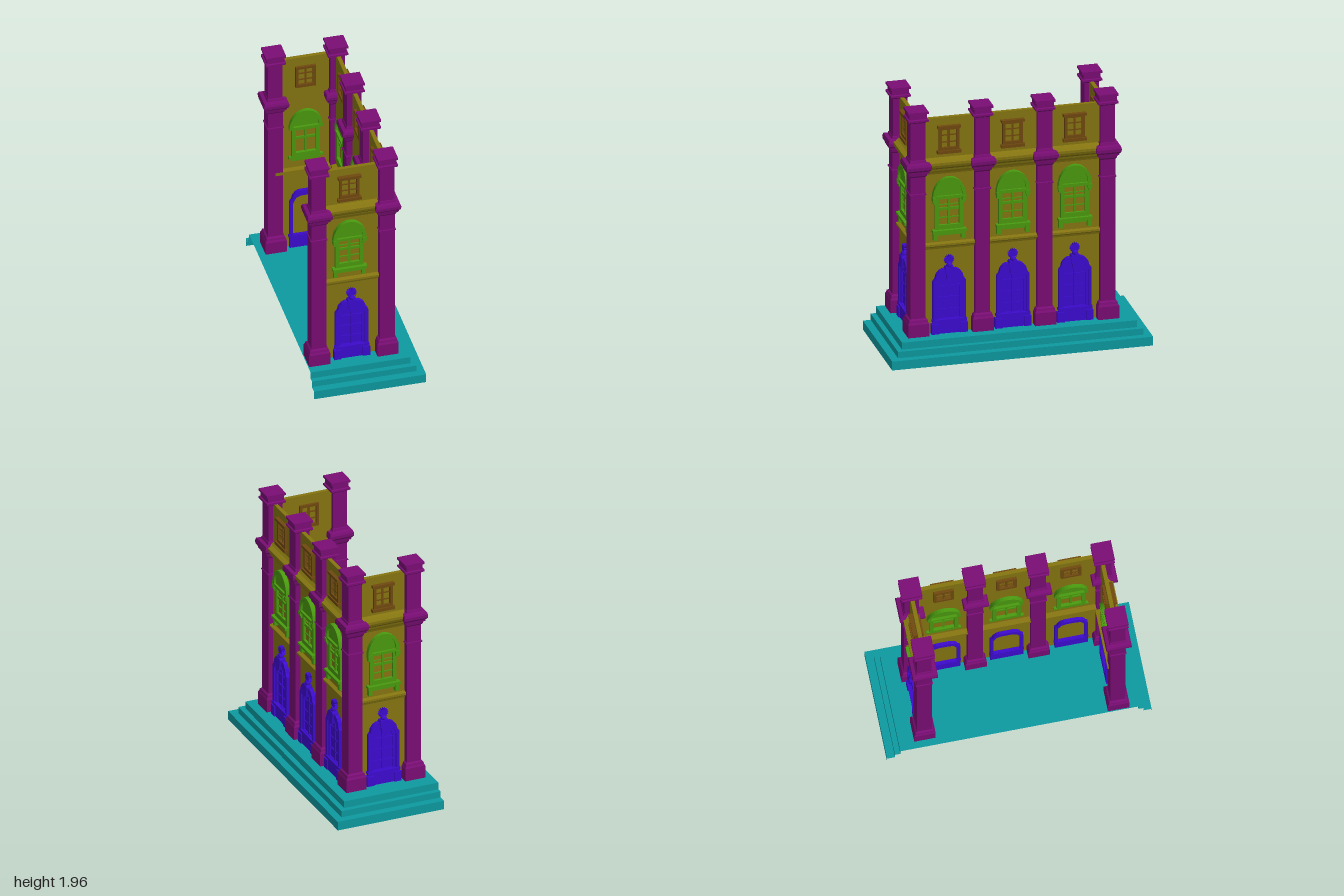
import * as THREE from 'three';

const mat = (color, side = THREE.FrontSide) => new THREE.MeshStandardMaterial({ color, side, flatShading: true });
const olive = mat(0x857510), purple = mat(0x7a0d75), green = mat(0x4a9a0f);
const blue = mat(0x3d0bd0), brown = mat(0x70490f), teal = mat(0x0d9a9f, THREE.DoubleSide);

function add(parent, name, geo, material) {
  const m = new THREE.Mesh(geo, material);
  m.name = name;
  parent.add(m);
  return m;
}

// Box from its centre x, width, bottom, top and depth range
function box(parent, name, material, x, w, y0, y1, z0, z1) {
  const m = add(parent, name, new THREE.BoxGeometry(w, y1 - y0, z1 - z0), material);
  m.position.set(x, (y0 + y1) / 2, (z0 + z1) / 2);
  return m;
}

// Closed symmetric outline from its right half, listed bottom to top
function mirrored(half) {
  const left = half.filter(p => p[0] > 0).map(([x, y]) => [-x, y]).reverse();
  return new THREE.Shape([...half, ...left].map(([x, y]) => new THREE.Vector2(x, y)));
}

function plate(parent, name, material, shape, z0, z1) {
  const geo = new THREE.ExtrudeGeometry(shape, { depth: z1 - z0, bevelEnabled: false, curveSegments: 14 });
  geo.translate(0, 0, z0);
  return add(parent, name, geo, material);
}

function arch(r, rise, y) {
  const pts = [];
  for (let i = 0; i <= 8; i++) pts.push([r * Math.cos(i * Math.PI / 16), y + rise * Math.sin(i * Math.PI / 16)]);
  pts[8][0] = 0;
  return pts;
}

function framed(outer, inner) {
  const s = mirrored(outer);
  s.holes.push(mirrored(inner));
  return s;
}
const rect = (h, y0, y1) => [[h, y0], [h, y1]];

// Horizontal moulding: profile points are [depth, y]
function moulding(parent, name, profile, length) {
  const shape = new THREE.Shape(profile.map(([d, y]) => new THREE.Vector2(d, y)));
  const geo = new THREE.ExtrudeGeometry(shape, { depth: length, bevelEnabled: false });
  geo.rotateY(-Math.PI / 2).translate(length / 2, 0, 0);
  return add(parent, name, geo, olive);
}

function atticWindow() {
  const g = new THREE.Group();
  g.name = 'atticWindow';
  plate(g, 'frame', brown, framed(rect(0.077, 1.625, 1.81), rect(0.056, 1.65, 1.79)), -0.05, 0.02);
  box(g, 'lintel', brown, 0, 0.176, 1.802, 1.823, -0.02, 0.032);
  box(g, 'sill', brown, 0, 0.182, 1.604, 1.628, -0.02, 0.032);
  box(g, 'mullion', brown, 0, 0.014, 1.65, 1.79, -0.04, 0.01);
  for (const y of [1.69, 1.745]) box(g, 'glazingBar', brown, 0, 0.112, y - 0.004, y + 0.004, -0.04, 0.008);
  return g;
}

function archedWindow() {
  const g = new THREE.Group();
  g.name = 'archedWindow';
  plate(g, 'frame', green, framed(rect(0.108, 0.995, 1.26), rect(0.078, 1.035, 1.24)), -0.055, 0.02);
  plate(g, 'archHood', green, framed([[0.128, 1.25], ...arch(0.128, 0.155, 1.26)], [[0.098, 1.27], ...arch(0.098, 0.12, 1.275)]), -0.06, 0.035);
  plate(g, 'tympanum', green, mirrored([[0.11, 1.25], ...arch(0.11, 0.135, 1.26)]), -0.04, 0.018);
  box(g, 'sill', green, 0, 0.26, 0.98, 1.0, -0.05, 0.045);
  box(g, 'apron', green, 0, 0.22, 0.955, 0.98, -0.04, 0.025);
  for (const s of [-1, 1]) {
    box(g, 'sillBracket', green, s * 0.108, 0.03, 0.92, 0.982, -0.01, 0.03);
    box(g, 'impost', green, s * 0.112, 0.034, 1.228, 1.258, -0.01, 0.04);
    box(g, 'imposeBracket', green, s * 0.112, 0.024, 1.205, 1.23, -0.01, 0.03);
  }
  box(g, 'mullion', green, 0, 0.016, 1.035, 1.24, -0.04, 0.012);
  box(g, 'transom', green, 0, 0.156, 1.15, 1.17, -0.04, 0.012);
  for (const y of [1.09, 1.192]) box(g, 'glazingBar', green, 0, 0.156, y - 0.004, y + 0.004, -0.02, 0.008);
  return g;
}

function doorway() {
  const g = new THREE.Group();
  g.name = 'doorway';
  const outer = [[0.125, 0.27], [0.125, 0.59], [0.108, 0.612], [0.1, 0.645], [0.078, 0.672], [0.055, 0.685]];
  const mid = [[0.1, 0.28], [0.1, 0.575], [0.075, 0.625], [0.04, 0.64]];
  const inner = [[0.08, 0.29], [0.08, 0.55], [0.06, 0.595], [0.03, 0.61]];
  plate(g, 'outerFrame', blue, framed(outer, mid), -0.055, 0.032);
  plate(g, 'innerFrame', blue, framed(mid, inner), -0.02, 0.02);
  plate(g, 'doorPanel', blue, mirrored(inner), -0.01, 0.006);
  box(g, 'mullion', blue, 0, 0.014, 0.285, 0.61, 0, 0.014);
  for (const y of [0.36, 0.455, 0.545]) box(g, 'rail', blue, 0, 0.16, y - 0.006, y + 0.006, 0, 0.013);
  // Plinth with end blocks
  box(g, 'plinth', blue, 0, 0.25, 0.165, 0.275, -0.055, 0.03);
  box(g, 'plinthCap', blue, 0, 0.262, 0.268, 0.287, -0.05, 0.038);
  for (const s of [-1, 1]) box(g, 'plinthBlock', blue, s * 0.11, 0.056, 0.165, 0.255, -0.02, 0.04);
  // Keystone carrying a rayed rosette
  plate(g, 'keystone', blue, mirrored([[0.02, 0.605], [0.038, 0.69], [0.03, 0.705]]), 0, 0.047);
  const knob = add(g, 'knob', new THREE.SphereGeometry(0.024, 10, 8), blue);
  knob.position.set(0, 0.715, 0.022);
  const star = new THREE.Shape();
  for (let i = 0; i < 28; i++) {
    const r = i % 2 ? 0.026 : 0.039, a = Math.PI / 2 + i * Math.PI / 14;
    star[i ? 'lineTo' : 'moveTo'](r * Math.cos(a), 0.755 + r * Math.sin(a));
  }
  plate(g, 'rosette', blue, star, 0, 0.028);
  return g;
}

// Wall with mouldings; local +z is outward, bays hold [window x, door x]
function wall(name, length, bays) {
  const g = new THREE.Group();
  g.name = name;
  box(g, 'wallPanel', olive, 0, length, 0.17, 1.885, -0.03, 0);
  moulding(g, 'cornice', [[-0.03, 1.44], [0.006, 1.44], [0.012, 1.455], [0.02, 1.47], [0.032, 1.475], [0.036, 1.49],
    [0.05, 1.505], [0.058, 1.525], [0.058, 1.545], [0.02, 1.555], [0, 1.57], [-0.03, 1.57]], length);
  moulding(g, 'stringCourse', [[-0.07, 0.862], [-0.045, 0.845], [0.01, 0.845], [0.016, 0.862], [0.03, 0.872],
    [0.03, 0.888], [0, 0.896], [-0.07, 0.888]], length);
  for (const [wx, dx] of bays) {
    for (const w of [atticWindow(), archedWindow()]) {
      w.position.x = wx;
      g.add(w);
    }
    const d = doorway();
    d.position.x = dx;
    g.add(d);
  }
  return g;
}

// Square column turned from a stepped profile of [half width, y]
function column(x, z) {
  const profile = [[0, 0.165], [0.081, 0.165], [0.081, 0.275], [0.073, 0.29], [0.07, 0.305], [0.057, 0.315],
    [0.057, 1.295], [0.064, 1.298], [0.064, 1.306], [0.057, 1.309], [0.057, 1.44], [0.066, 1.452], [0.07, 1.47],
    [0.08, 1.474], [0.083, 1.49], [0.095, 1.505], [0.097, 1.53], [0.09, 1.55], [0.064, 1.555], [0.06, 1.572],
    [0.056, 1.575], [0.056, 1.87], [0.066, 1.882], [0.077, 1.885], [0.077, 1.9], [0.066, 1.904],
    [0.066, 1.942], [0.077, 1.946], [0.077, 1.963], [0, 1.963]];
  const geo = new THREE.LatheGeometry(profile.map(([r, y]) => new THREE.Vector2(r * Math.SQRT2, y)), 4);
  geo.rotateY(Math.PI / 4);
  const g = new THREE.Group();
  g.name = 'column';
  g.position.set(x, 0, z);
  add(g, 'columnBody', geo, purple);
  return g;
}

// Open stepped shell running round three sides, with a floor on top
function steps() {
  const g = new THREE.Group();
  g.name = 'steps';
  const profile = [[0, 0], [0, 0.07], [0.06, 0.07], [0.06, 0.12], [0.1, 0.12], [0.1, 0.175]];
  const rings = profile.map(([i, y]) => {
    const x = 0.43 - i * 0.95, z = 1 - i;
    return [[-0.43, y, z], [x, y, z], [x, y, -z], [-0.43, y, -z]];
  });
  const pos = [];
  for (let r = 0; r < rings.length - 1; r++) {
    for (let k = 0; k < 3; k++) {
      const a = rings[r][k], b = rings[r][k + 1], c = rings[r + 1][k + 1], d = rings[r + 1][k];
      pos.push(...a, ...b, ...c, ...a, ...c, ...d);
    }
  }
  const [a, b, c, d] = rings[rings.length - 1];
  pos.push(...a, ...b, ...c, ...a, ...c, ...d);
  const geo = new THREE.BufferGeometry();
  geo.setAttribute('position', new THREE.Float32BufferAttribute(pos, 3));
  geo.computeVertexNormals();
  add(g, 'stepShell', geo, teal);
  return g;
}

export function createModel() {
  const model = new THREE.Group();
  model.name = 'facade';
  model.add(steps());

  // Front wing
  const front = wall('frontWall', 0.52, [[-0.018, -0.002]]);
  front.position.set(-0.081, 0, 0.755);
  // Long side with three bays
  const side = wall('sideWall', 1.45, [0.508, 0.02, -0.455].map(z => [0.025 - z, 0.025 - z]));
  side.position.set(0.2, 0, 0.025);
  side.rotation.y = Math.PI / 2;
  // Back wing
  const back = wall('backWall', 0.475, [[0, 0]]);
  back.position.set(-0.057, 0, -0.715);
  back.rotation.y = Math.PI;
  model.add(front, side, back);

  const spots = [[0.182, 0.752], [0.182, 0.256], [0.182, -0.221], [0.182, -0.703], [-0.342, 0.752], [-0.295, -0.703]];
  for (const [x, z] of spots) model.add(column(x, z));
  return model;
}
